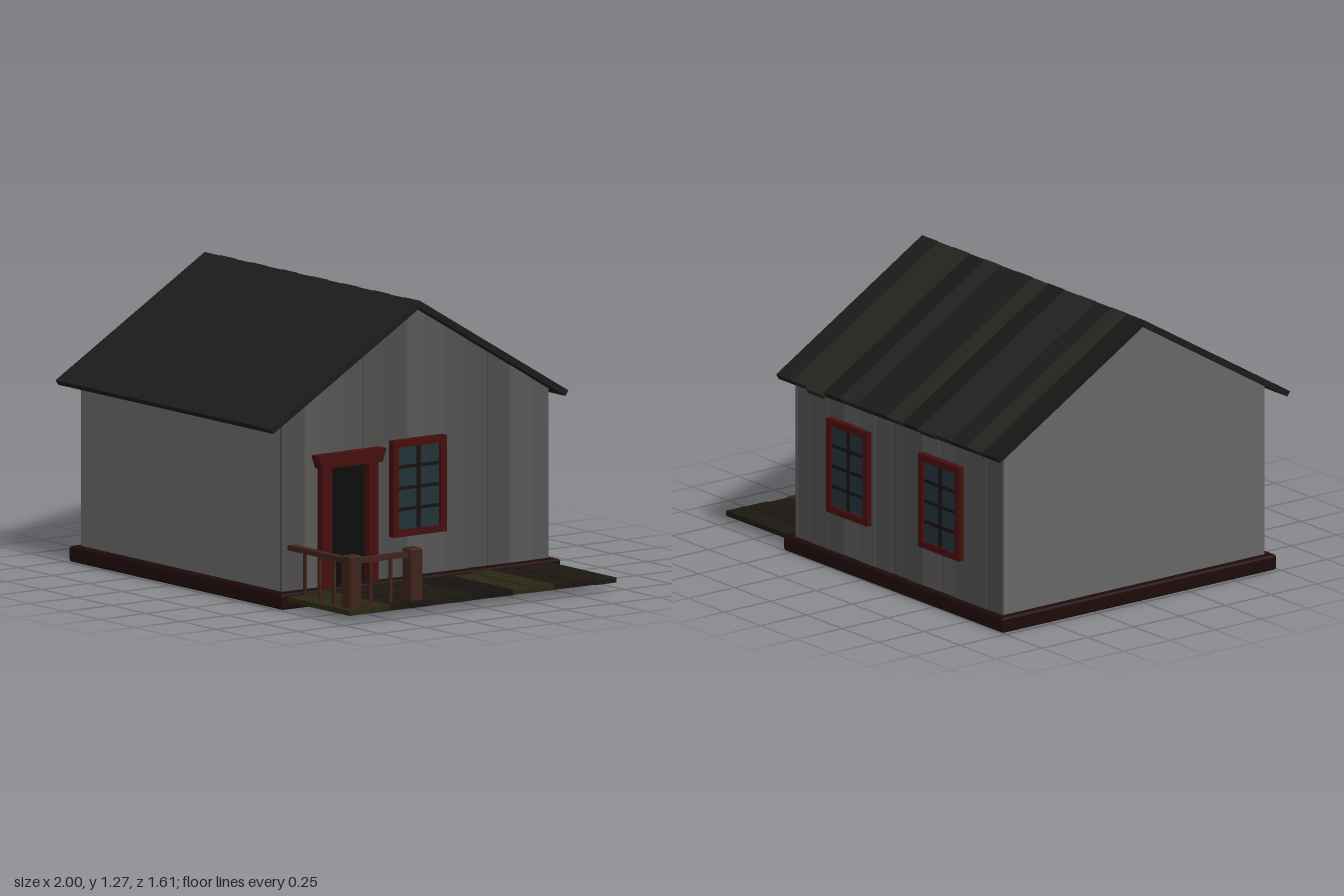
import * as THREE from 'three';
import { RoundedBoxGeometry } from 'three/addons/geometries/RoundedBoxGeometry.js';

const mat = (color) => new THREE.MeshStandardMaterial({ color });
const M = {
  wall: mat(0x666666),
  planks: [0x4c4c4c, 0x545454, 0x4f4d4c, 0x5a5857, 0x505050].map(mat),
  roof: mat(0x1c1b19),
  roofPlanks: [0x171715, 0x22211f, 0x1b1a18, 0x242320].map(mat),
  deck: [0x1c1812, 0x15120f, 0x2a2614, 0x1a1510].map(mat),
  base: mat(0x1e0a0a), trim: mat(0x450d0d), bars: mat(0x1a1010),
  glass: mat(0x1f3236), door: mat(0x0c0c0c), wood: mat(0x3d2318),
};

function add(parent, name, geometry, material, x = 0, y = 0, z = 0) {
  const mesh = new THREE.Mesh(geometry, material);
  mesh.name = name;
  mesh.position.set(x, y, z);
  parent.add(mesh);
  return mesh;
}

// Box given by its minimum and maximum along each axis
function span(parent, name, material, [x0, x1], [y0, y1], [z0, z1]) {
  return add(parent, name, new THREE.BoxGeometry(x1 - x0, y1 - y0, z1 - z0), material,
    (x0 + x1) / 2, (y0 + y1) / 2, (z0 + z1) / 2);
}

// A [z, y] outline extruded along x
function prism(parent, name, material, outline, x0, x1) {
  const shape = new THREE.Shape(outline.map(([z, y]) => new THREE.Vector2(-z, y)));
  const geometry = new THREE.ExtrudeGeometry(shape, { depth: x1 - x0, bevelEnabled: false });
  geometry.rotateY(Math.PI / 2);
  return add(parent, name, geometry, material, x0);
}

const SLOPE = 0.594;
const wallTop = (z) => 1.24 - SLOPE * Math.abs(z);

// Paned window facing +z, standing on its own origin plane
function makeWindow(name) {
  const g = new THREE.Group();
  g.name = name;
  const w = 0.285, h = 0.42, t = 0.03, d = 0.04;
  for (const s of [-1, 1]) {
    add(g, 'windowStile', new THREE.BoxGeometry(t, h, d), M.trim, s * (w - t) / 2);
    add(g, 'windowRail', new THREE.BoxGeometry(w - 2 * t, t, d), M.trim, 0, s * (h - t) / 2);
  }
  add(g, 'windowGlass', new THREE.BoxGeometry(w - 2 * t, h - 2 * t, 0.012), M.glass);
  add(g, 'windowMullion', new THREE.BoxGeometry(0.018, h - 2 * t, 0.026), M.bars);
  for (const i of [-1, 0, 1]) {
    add(g, 'windowBar', new THREE.BoxGeometry(w - 2 * t, 0.014, 0.022), M.bars, 0, i * 0.092);
  }
  return g;
}

export function createModel() {
  const house = new THREE.Group();
  house.name = 'cabin';

  // Foundation and wall core
  add(house, 'foundation', new RoundedBoxGeometry(1.53, 0.07, 1.495, 1, 0.012), M.base, -0.222, 0.035, -0.008);
  prism(house, 'walls', M.wall,
    [[0.7, 0.05], [0.7, wallTop(0.7)], [0, wallTop(0)], [-0.72, wallTop(0.72)], [-0.72, 0.05]], -0.95, 0.48);

  // Upright planks on the gable end
  const cuts = [0.7, 0.58, 0.49, 0.37, 0.27, 0.15, 0.03, -0.07, -0.18, -0.29, -0.4, -0.52, -0.63, -0.73];
  for (let i = 0; i < cuts.length - 1; i++) {
    const a = cuts[i], b = cuts[i + 1];
    const outline = [[a, 0.06], [a, wallTop(a)]];
    if (a > 0 && b < 0) outline.push([0, wallTop(0)]);
    outline.push([b, wallTop(b)], [b, 0.06]);
    prism(house, 'gablePlank', M.planks[(i * 3) % 5], outline, 0.475, 0.488 + (i % 3) * 0.002);
  }

  // Upright planks on the back wall
  const n = 13, step = 1.43 / n;
  for (let i = 0; i < n; i++) {
    const x = -0.95 + i * step;
    span(house, 'backPlank', M.planks[(i * 2) % 5], [x, x + step], [0.06, wallTop(0.73)],
      [-0.728 - (i % 3) * 0.002, -0.71]);
  }

  // Roof: one smooth front slope, planked back slope
  const slab = (s, lift = 0, extra = 0) => [
    [0, 1.24], [0, 1.27 + lift],
    [s * (0.8 + extra), 1.27 + lift - SLOPE * (0.8 + extra)],
    [s * (0.785 + extra), 1.24 - SLOPE * (0.785 + extra)]];
  prism(house, 'frontRoof', M.roof, slab(1), -1, 0.54);
  for (let i = 0; i < 14; i++) {
    const proud = { 4: 0.004, 11: 0.012 }[i] || 0;
    const x = -1 + i * 0.11;
    prism(house, 'backRoofPlank', M.roofPlanks[(i * 3 + (i >> 2)) % 4],
      slab(-1, (i % 2) * 0.002, proud - 0.004), x, x + 0.11);
  }

  // Windows
  const sideWindow = makeWindow('gableWindow');
  sideWindow.position.set(0.505, 0.46, -0.013);
  sideWindow.rotation.y = Math.PI / 2;
  house.add(sideWindow);
  for (const x of [0.1, -0.54]) {
    const w = makeWindow('backWindow');
    w.position.set(x, 0.46, -0.738);
    w.rotation.y = Math.PI;
    house.add(w);
  }

  // Doorway
  const door = new THREE.Group();
  door.name = 'doorway';
  span(door, 'door', M.door, [0.47, 0.497], [0.06, 0.6], [0.26, 0.465]);
  span(door, 'doorJamb', M.trim, [0.47, 0.528], [0.06, 0.6], [0.46, 0.512]);
  span(door, 'doorJamb', M.trim, [0.47, 0.528], [0.06, 0.6], [0.212, 0.264]);
  prism(door, 'doorLintel', M.trim,
    [[0.525, 0.592], [0.545, 0.65], [0.18, 0.65], [0.2, 0.592]], 0.47, 0.542);
  house.add(door);

  // Porch deck boards
  const boards = 13, bw = 1.42 / boards;
  for (let i = 0; i < boards; i++) {
    const z = -0.71 + i * bw;
    span(house, 'deckBoard', M.deck[(i * 3 + (i >> 1)) % 4],
      [0.5, i ? 0.985 + (i % 2) * 0.004 : 1], [0.035, 0.057 + (i % 2) * 0.003], [z, z + bw]);
  }

  // Porch railing
  const rail = new THREE.Group();
  rail.name = 'railing';
  for (const z of [0.652, 0.327]) {
    add(rail, 'railPost', new RoundedBoxGeometry(0.066, 0.235, 0.066, 1, 0.008), M.wood, 0.923, 0.168, z);
  }
  span(rail, 'handrail', M.wood, [0.48, 0.9], [0.248, 0.27], [0.635, 0.67]);
  span(rail, 'handrail', M.wood, [0.907, 0.94], [0.248, 0.27], [0.35, 0.63]);
  const baluster = new THREE.BoxGeometry(0.012, 0.2, 0.012);
  for (const x of [0.59, 0.695, 0.797]) add(rail, 'baluster', baluster, M.wood, x, 0.155, 0.652);
  for (const z of [0.55, 0.445]) add(rail, 'baluster', baluster, M.wood, 0.923, 0.155, z);
  house.add(rail);

  return house;
}
